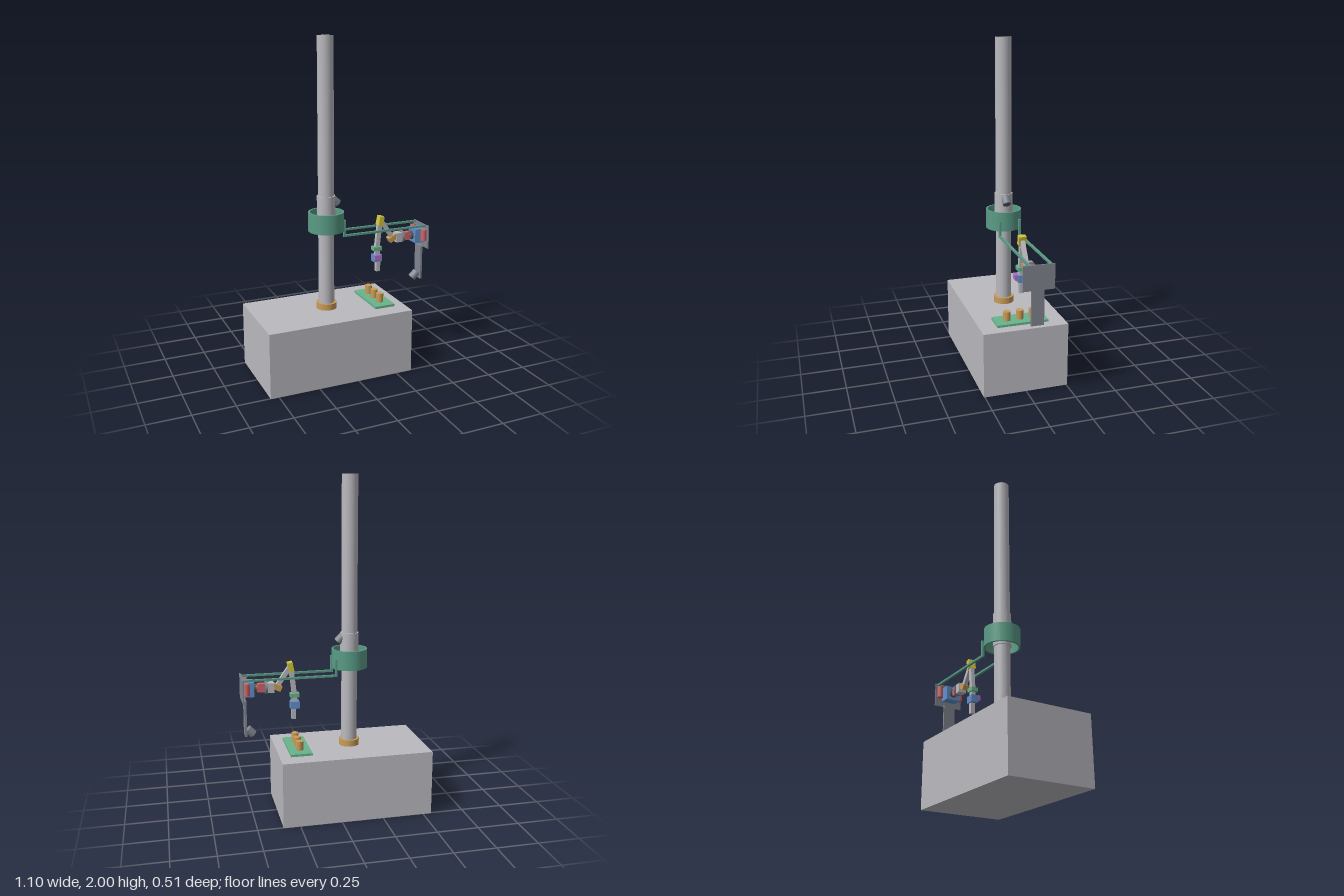
import * as THREE from 'three';

const mat = (name, color) => {
  const m = new THREE.MeshStandardMaterial({ color });
  m.name = name;
  return m;
};

export function createModel() {
  const M = {
    grey: mat('light grey', 0xb9b9bf),
    steel: mat('steel grey', 0x80858f),
    dark: mat('dark grey', 0x55585f),
    teal: mat('teal', 0x5a9c85),
    green: mat('green', 0x68b58c),
    orange: mat('orange', 0xc99c58),
    red: mat('red', 0xcc6666),
    blue: mat('blue', 0x6090cc),
    yellow: mat('yellow', 0xd2c43c),
    purple: mat('purple', 0xb070cc),
  };
  const root = new THREE.Group();
  root.name = 'gantryStation';

  const add = (name, geometry, material, x, y, z, parent = root) => {
    const mesh = new THREE.Mesh(geometry, material);
    mesh.name = name;
    mesh.position.set(x, y, z);
    parent.add(mesh);
    return mesh;
  };
  // Box given by its limits on each axis
  const box = (name, material, [x0, x1], [y0, y1], [z0, z1]) =>
    add(name, new THREE.BoxGeometry(x1 - x0, y1 - y0, z1 - z0), material,
      (x0 + x1) / 2, (y0 + y1) / 2, (z0 + z1) / 2);
  // Upright cylinder between two heights
  const peg = (name, material, r, x, z, y0, y1) =>
    add(name, new THREE.CylinderGeometry(r, r, y1 - y0, 32), material, x, (y0 + y1) / 2, z);
  // Cylinder lying along x
  const axle = (name, material, r, x0, x1, y) => {
    const mesh = add(name, new THREE.CylinderGeometry(r, r, x1 - x0, 32), material, (x0 + x1) / 2, y, 0);
    mesh.rotation.z = Math.PI / 2;
    return mesh;
  };
  // Upright hollow tube around the mast axis
  const tube = (name, material, outer, inner, y0, y1) => {
    const shape = new THREE.Shape().absarc(0, 0, outer, 0, Math.PI * 2, false);
    shape.holes.push(new THREE.Path().absarc(0, 0, inner, 0, Math.PI * 2, true));
    const geo = new THREE.ExtrudeGeometry(shape, { depth: y1 - y0, bevelEnabled: false, curveSegments: 32 });
    geo.rotateX(-Math.PI / 2);
    return add(name, geo, material, -0.1, y0, 0);
  };
  // Rectangular bar between two points of the middle plane
  const link = (name, material, [x0, y0], [x1, y1], width, depth) => {
    const length = Math.hypot(x1 - x0, y1 - y0);
    const mesh = add(name, new THREE.BoxGeometry(width, length, depth), material, (x0 + x1) / 2, (y0 + y1) / 2, 0);
    mesh.rotation.z = Math.atan2(y1 - y0, x1 - x0) - Math.PI / 2;
    return mesh;
  };
  // Small camera looking downwards at a slant; side is +1 or -1 along x
  const camera = (name, x, y, side) => {
    const group = new THREE.Group();
    group.name = name;
    group.position.set(x, y, 0);
    group.rotation.z = side * Math.PI / 4;
    root.add(group);
    add('cameraBody', new THREE.CylinderGeometry(0.025, 0.025, 0.048, 32), M.steel, 0, 0, 0, group);
    add('cameraLens', new THREE.CylinderGeometry(0.021, 0.021, 0.004, 32), M.dark, 0, -0.025, 0, group);
  };

  // Base block and mast
  box('baseBlock', M.grey, [-0.55, 0.35], [0, 0.392], [-0.256, 0.256]);
  tube('mast', M.grey, 0.047, 0.042, 0.39, 2);
  tube('mastCollar', M.orange, 0.061, 0.047, 0.39, 0.43);
  tube('mastSleeve', M.grey, 0.054, 0.0465, 0.88, 1.087);
  tube('carrierRing', M.teal, 0.106, 0.095, 0.875, 0.99);
  camera('mastCamera', -0.045, 1.05, 1);

  // Work panel with its pegs
  box('workPanel', M.green, [0.156, 0.285], [0.39, 0.406], [-0.155, 0.154]);
  for (const z of [-0.078, 0, 0.078]) peg('panelPeg', M.orange, 0.022, 0.22, z, 0.404, 0.46);

  // Two carrier rails hanging from the ring
  for (const z of [-0.072, 0.05]) {
    box('railDrop', M.teal, [-0.011, 0.003], [0.838, 0.94], [z - 0.007, z + 0.007]);
    box('rail', M.teal, [-0.011, 0.542], [0.838, 0.85], [z - 0.007, z + 0.007]);
  }

  // End plate, motors and lower camera bracket
  box('endPlate', M.steel, [0.541, 0.548], [0.705, 0.85], [-0.092, 0.09]);
  for (const z of [-0.069, 0.067]) peg('plateCylinder', M.red, 0.018, 0.523, z, 0.755, 0.826);
  box('cameraBracket', M.steel, [0.523, 0.535], [0.495, 0.71], [-0.037, 0.037]);
  box('bracketFoot', M.steel, [0.523, 0.545], [0.703, 0.711], [-0.037, 0.037]);
  camera('lowerCamera', 0.5, 0.515, -1);
  box('armMotor', M.blue, [0.477, 0.541], [0.737, 0.824], [-0.045, 0.045]);

  // Shoulder chain along x
  axle('motorHub', M.dark, 0.026, 0.462, 0.478, 0.78);
  axle('shoulderShaft', M.red, 0.017, 0.453, 0.464, 0.78);
  box('shoulderBlock', M.red, [0.408, 0.455], [0.755, 0.805], [-0.017, 0.017]);
  axle('shoulderFlange', M.steel, 0.037, 0.396, 0.41, 0.78);
  box('shoulderHousing', M.grey, [0.357, 0.397], [0.75, 0.808], [-0.025, 0.025]);
  link('shoulderJoint', M.orange, [0.314, 0.765], [0.362, 0.79], 0.032, 0.043);

  // Upper arm, elbow and forearm
  link('upperArm', M.grey, [0.343, 0.775], [0.262, 0.893], 0.026, 0.024);
  link('elbow', M.yellow, [0.25, 0.868], [0.261, 0.924], 0.03, 0.044);
  link('forearm', M.grey, [0.235, 0.73], [0.252, 0.885], 0.028, 0.024);

  // Wrist and tool
  box('wristBlock', M.green, [0.206, 0.26], [0.711, 0.735], [-0.022, 0.022]);
  box('wristLink', M.grey, [0.222, 0.25], [0.68, 0.713], [-0.013, 0.013]);
  box('toolMotor', M.blue, [0.206, 0.26], [0.642, 0.685], [-0.022, 0.022]);
  box('toolSensor', M.purple, [0.206, 0.252], [0.656, 0.688], [0.021, 0.038]);
  box('tool', M.grey, [0.227, 0.254], [0.577, 0.643], [-0.013, 0.013]);

  return root;
}
